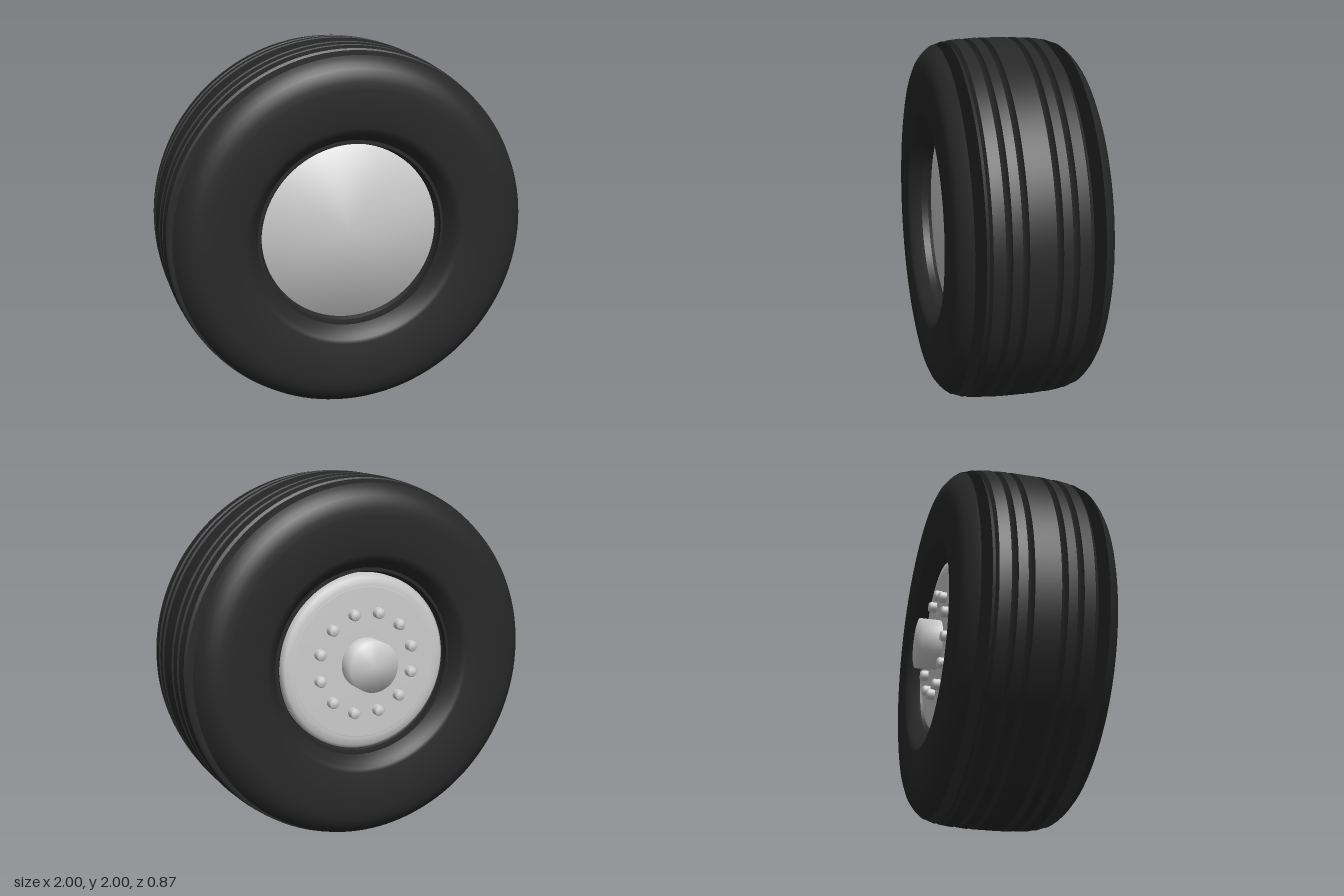
import * as THREE from 'three';
import { toCreasedNormals } from 'three/addons/utils/BufferGeometryUtils.js';

const rubber = new THREE.MeshStandardMaterial({ color: 0x272727, side: THREE.DoubleSide });
const metal = new THREE.MeshStandardMaterial({ color: 0xcccccc });
const SEG = 128;

// Revolves [radius, z] points around the z axis
function revolve(name, points, material, { crease = 0, segments = SEG } = {}) {
  let geo = new THREE.LatheGeometry(points.map(([r, z]) => new THREE.Vector2(r, z)), segments);
  geo.rotateX(Math.PI / 2);
  if (crease) geo = toCreasedNormals(geo, crease);
  const mesh = new THREE.Mesh(geo, material);
  mesh.name = name;
  return mesh;
}

// Mirrors a profile to the back, reversed so that it still faces outwards
const mirrored = (points) => points.map(([r, z]) => [r, -z]).reverse();

function createTyre() {
  const tyre = new THREE.Group();
  tyre.name = 'tyre';

  // Tread band: slightly crowned, with four grooves and a notch at each shoulder
  const crown = (z) => 1 - 0.2 * z * z;
  const profile = [[0.5, -0.27], [0.955, -0.27], [0.962, -0.257], [crown(0.25), -0.245]];
  for (const z of [-0.168, -0.085, 0.085, 0.168]) {
    profile.push([crown(z), z - 0.017], [0.965, z - 0.01], [0.955, z], [0.965, z + 0.01], [crown(z), z + 0.017]);
  }
  profile.push([crown(0.25), 0.245], [0.962, 0.257], [0.955, 0.27], [0.5, 0.27]);
  tyre.add(revolve('tread', profile, rubber, { crease: 0.6 }));

  // Inner band on which the tread and sidewalls sit
  tyre.add(revolve('innerBand', [[0.5, -0.34], [0.5, 0.34]], rubber));

  // Sidewall with a rounded shoulder and a sloping bead
  const sidewall = [
    [0.5, 0.33], [0.965, 0.33], [0.95, 0.35], [0.93, 0.37], [0.905, 0.389],
    [0.875, 0.402], [0.84, 0.409], [0.8, 0.41], [0.6, 0.41], [0.58, 0.404],
    [0.56, 0.385], [0.53, 0.35], [0.5, 0.3], [0.485, 0.27],
  ];
  for (const side of [1, -1]) {
    const label = side > 0 ? 'front' : 'back';
    const points = [...sidewall].reverse();
    tyre.add(revolve(label + 'Sidewall', side > 0 ? points.reverse() : mirrored(sidewall), rubber, { crease: 0.7 }));

    // Thin flat plies between tread and sidewall
    for (let i = 0; i < 4; i++) {
      const ply = new THREE.Mesh(new THREE.RingGeometry(0.5, 0.982 - i * 0.005, SEG), rubber);
      ply.name = label + 'Ply';
      ply.position.z = side * (0.279 + i * 0.013);
      tyre.add(ply);
    }
  }
  tyre.position.z = 0.02;
  return tyre;
}

function createHub() {
  const hub = new THREE.Group();
  hub.name = 'hub';

  // Closed drum filling the opening, with softly shaded flat ends
  hub.add(revolve('frontDisc', [[0.485, 0], [0.485, 0.305], [0, 0.305]], metal));
  hub.add(revolve('backDisc', [
    [0, -0.32], [0.41, -0.32], [0.416, -0.314], [0.422, -0.318], [0.465, -0.312], [0.485, -0.29], [0.485, 0],
  ], metal));

  // Centre cap
  hub.add(revolve('centreCap', [[0, -0.435], [0.14, -0.435], [0.14, -0.31]], metal, { segments: 48 }));

  // Ring of lug nuts
  const count = 12;
  for (let i = 0; i < count; i++) {
    const angle = ((i + 0.5) / count) * Math.PI * 2;
    const nut = revolve('lugNut', [[0, -0.365], [0.024, -0.362], [0.03, -0.352], [0.03, -0.31]], metal, { segments: 16 });
    nut.position.set(0.28 * Math.cos(angle), 0.28 * Math.sin(angle), 0);
    hub.add(nut);
  }
  return hub;
}

export function createModel() {
  const wheel = new THREE.Group();
  wheel.name = 'wheel';
  wheel.add(createTyre(), createHub());
  wheel.position.y = 1;
  const model = new THREE.Group();
  model.name = 'truckWheel';
  model.add(wheel);
  return model;
}
